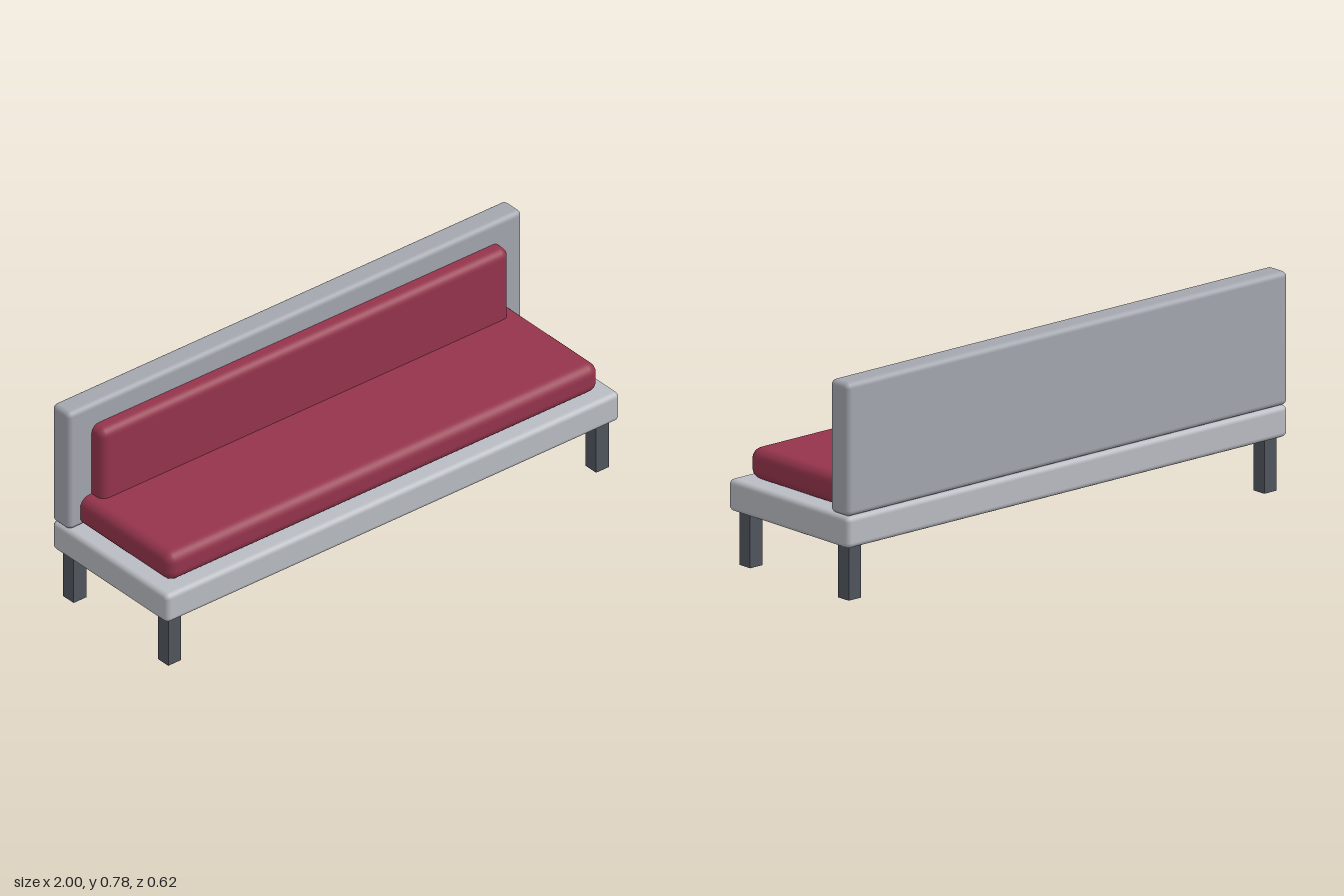
import * as THREE from 'three';
import { RoundedBoxGeometry } from 'three/addons/geometries/RoundedBoxGeometry.js';

const frameMat = new THREE.MeshStandardMaterial({ color: 0xb9bcc2 });
const backMat = new THREE.MeshStandardMaterial({ color: 0xa3a6ae });
const cushionMat = new THREE.MeshStandardMaterial({ color: 0x94344c });
const legMat = new THREE.MeshStandardMaterial({ color: 0x50555d });

// Rounded slab centred on x, given its width and its y and z extents
function slab(name, width, [y0, y1], [z0, z1], radius, material) {
  const geometry = new RoundedBoxGeometry(width, y1 - y0, z1 - z0, 3, radius);
  const mesh = new THREE.Mesh(geometry, material);
  mesh.name = name;
  mesh.position.set(0, (y0 + y1) / 2, (z0 + z1) / 2);
  return mesh;
}

export function createModel() {
  const bench = new THREE.Group();
  bench.name = 'bench';

  // Base and backrest panel
  bench.add(slab('base', 2, [0.192, 0.306], [-0.309, 0.309], 0.02, frameMat));
  bench.add(slab('backrest', 2, [0.306, 0.781], [-0.309, -0.215], 0.02, backMat));

  // Upholstery, tucked into the backrest
  bench.add(slab('seatCushion', 1.9, [0.306, 0.42], [-0.262, 0.262], 0.04, cushionMat));
  bench.add(slab('backCushion', 1.8, [0.38, 0.696], [-0.25, -0.158], 0.032, cushionMat));

  // Four square legs
  const legGeometry = new THREE.BoxGeometry(0.056, 0.192, 0.056);
  for (const sx of [-1, 1]) {
    for (const sz of [-1, 1]) {
      const leg = new THREE.Mesh(legGeometry, legMat);
      leg.name = (sz > 0 ? 'front' : 'back') + (sx > 0 ? 'Left' : 'Right') + 'Leg';
      leg.position.set(sx * 0.943, 0.096, sz * 0.253);
      bench.add(leg);
    }
  }
  return bench;
}
